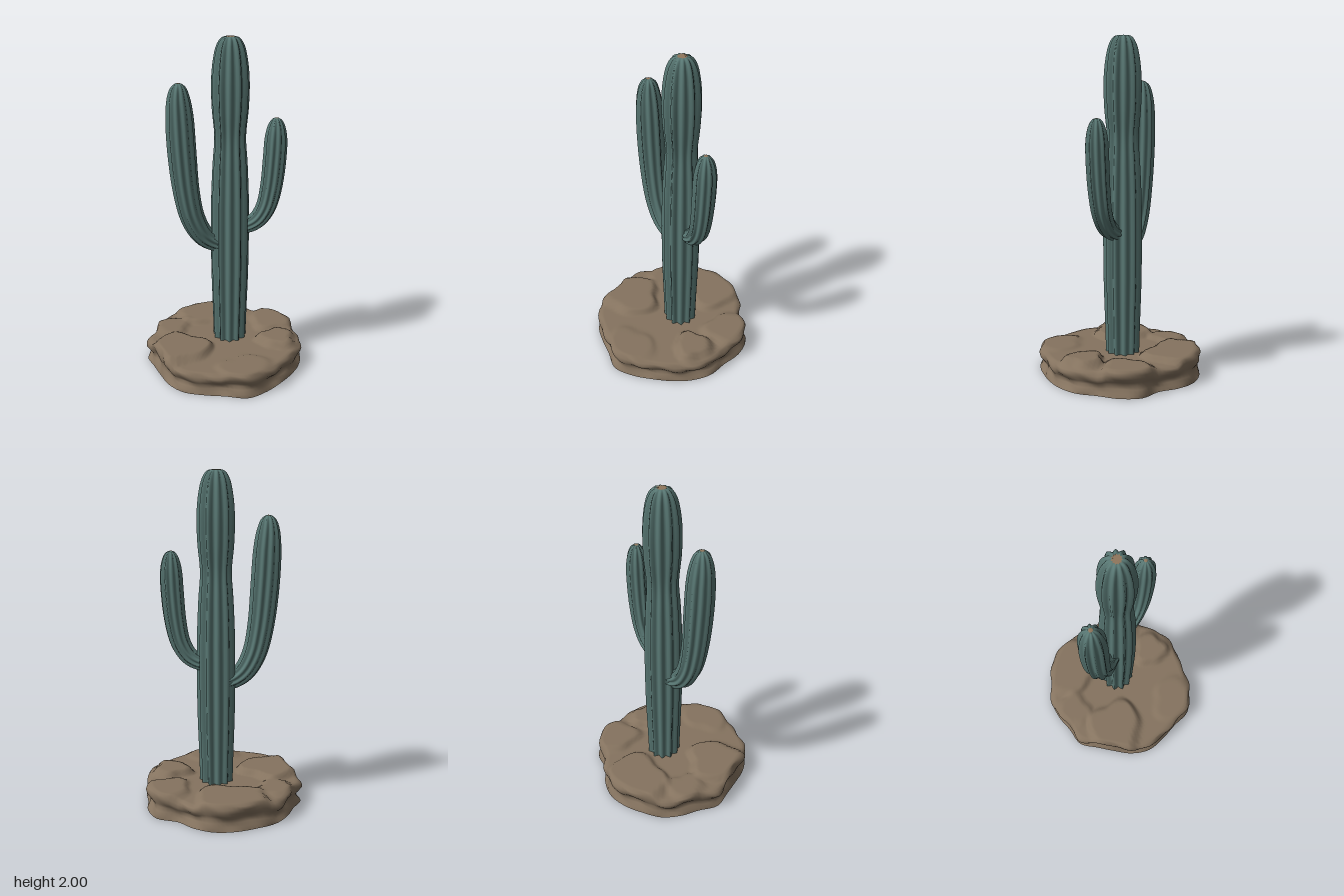
import * as THREE from 'three';

const mat = (name, color) => {
  const m = new THREE.MeshStandardMaterial({ color });
  m.name = name;
  return m;
};

// Skin closed rings of points, listed from the top downward
function loft(rings) {
  const n = rings[0].length, index = [];
  for (let i = 0; i < rings.length - 1; i++) {
    for (let j = 0; j < n; j++) {
      const a = i * n + j, b = i * n + (j + 1) % n;
      index.push(a, b, a + n, b, b + n, a + n);
    }
  }
  const g = new THREE.BufferGeometry();
  g.setAttribute('position', new THREE.Float32BufferAttribute(rings.flat(2), 3));
  g.setIndex(index);
  g.computeVertexNormals();
  return g;
}

// Ribbed stem swept along a path in the xy plane; points are [x, y, radius]
function stem(points, ribs, depth, materials) {
  const curve = new THREE.CatmullRomCurve3(points.map(p => new THREE.Vector3(...p)));
  const per = 6, sides = ribs * per, bands = (points.length - 1) * 4, rings = [];
  for (let i = bands; i >= 0; i--) {
    const p = curve.getPoint(i / bands);
    const t = curve.getTangent(i / bands).setZ(0).normalize();
    const ring = [];
    for (let j = 0; j < sides; j++) {
      const a = j / sides * Math.PI * 2;
      const valley = 1 - Math.abs((j % per) / (per / 2) - 1);
      const r = Math.max(p.z, 0) * (1 - depth * valley);
      const u = r * Math.cos(a);
      ring.push([p.x + t.y * u, p.y - t.x * u, r * Math.sin(a)]);
    }
    rings.push(ring);
  }
  const g = loft(rings);
  // the last path segment is the dry growing tip
  const tip = 4 * sides * 6;
  g.addGroup(0, tip, 1);
  g.addGroup(tip, g.index.count - tip, 0);
  return new THREE.Mesh(g, materials);
}

// Rock outline radius every 15 degrees, from +x toward +z
const outline = [.475, .475, .495, .515, .475, .475, .49, .475, .45, .45, .48, .455,
  .47, .485, .48, .49, .495, .475, .45, .505, .5, .475, .49, .485];
const outlineCurve = new THREE.CatmullRomCurve3(outline.map((r, i) => {
  const a = i * Math.PI / 12;
  return new THREE.Vector3(r * Math.cos(a), 0, r * Math.sin(a));
}), true);

// Raised slabs on the rock: x, z, radius, height
const slabs = [
  [-.15, .26, .19, .035], [-.25, -.27, .22, .03], [.31, -.13, .13, .04],
  [.16, -.36, .16, .025], [-.36, .04, .13, .02], [.3, .27, .17, .012],
];
function rockHeight(x, z) {
  let y = .133;
  for (const [sx, sz, r, h] of slabs) {
    const a = Math.atan2(z - sz, x - sx);
    const edge = r * (1 + .1 * Math.sin(3 * a + sx * 20) + .05 * Math.sin(5 * a));
    y += h * (1 - THREE.MathUtils.smoothstep(Math.hypot(x - sx, z - sz), edge - .04, edge));
  }
  return Math.min(y, .18);
}

function rock(material) {
  const n = 120, steps = 26, rim = .94;
  const edge = Array.from({ length: n }, (_, j) => outlineCurve.getPoint(j / n));
  const rings = [];
  // uneven top
  for (let i = 0; i <= steps; i++) {
    const s = rim * i / steps;
    rings.push(edge.map(p => [p.x * s, rockHeight(p.x * s, p.z * s), p.z * s]));
  }
  // worn, undercut flank: scale, share of rim height
  const flank = [[.972, .93], [.988, .82], [.985, .68], [.96, .54], [.935, .42],
    [.945, .28], [.97, .15], [.99, 0]];
  for (const [s, k] of flank) {
    rings.push(edge.map((p, j) => {
      const a = j / n * Math.PI * 2;
      const bump = k && .012 * Math.sin(9 * a + k * 5) + .01 * Math.sin(17 * a - k * 7);
      const f = s + bump;
      return [p.x * f, k * rockHeight(p.x * rim, p.z * rim), p.z * f];
    }));
  }
  const group = new THREE.Group();
  group.name = 'rockBase';
  const top = new THREE.Mesh(loft(rings), material);
  top.name = 'rock';
  const foot = rings[rings.length - 1];
  const under = new THREE.Mesh(loft([foot, foot.map(() => [0, 0, 0])]), material);
  under.name = 'rockUnderside';
  group.add(top, under);
  return group;
}

export function createModel() {
  const green = mat('cactusGreen', 0x587773);
  const dry = mat('dryTip', 0x8f765c);
  const stone = mat('sandstone', 0x85735f);
  const skin = [green, dry];

  const model = new THREE.Group();
  model.name = 'cactus';
  model.add(rock(stone));

  const plant = new THREE.Group();
  plant.name = 'plant';
  plant.position.set(.015, 0, -.055);
  model.add(plant);

  // trunk with a waist below the crown
  const trunk = stem([[0, .08, .1], [0, .3, .106], [0, .6, .115], [0, 1, .115], [0, 1.25, .105],
    [0, 1.42, .094], [0, 1.58, .108], [0, 1.74, .112], [0, 1.87, .1], [0, 1.95, .08],
    [0, 1.988, .055], [0, 1.998, .03], [0, 1.995, 0]], 11, .24, skin);
  trunk.name = 'trunk';
  trunk.rotation.y = .06;

  // tall arm, front right
  const tallArm = stem([[.02, .755, .05], [.09, .765, .056], [.165, .82, .066], [.225, .93, .073],
    [.262, 1.1, .079], [.285, 1.35, .085], [.295, 1.55, .081], [.3, 1.66, .066],
    [.3, 1.72, .043], [.3, 1.742, .014], [.3, 1.744, 0]], 10, .22, skin);
  tallArm.name = 'tallArm';
  tallArm.rotation.y = Math.atan2(-.185, -.235);

  // short arm, back left
  const shortArm = stem([[.02, .865, .045], [.1, .872, .05], [.165, .91, .056], [.215, .99, .061],
    [.245, 1.12, .066], [.262, 1.3, .069], [.267, 1.42, .065], [.268, 1.49, .049],
    [.268, 1.522, .03], [.268, 1.533, .012], [.268, 1.535, 0]], 10, .22, skin);
  shortArm.name = 'shortArm';
  shortArm.rotation.y = Math.atan2(.125, .235);

  plant.add(trunk, tallArm, shortArm);
  return model;
}
